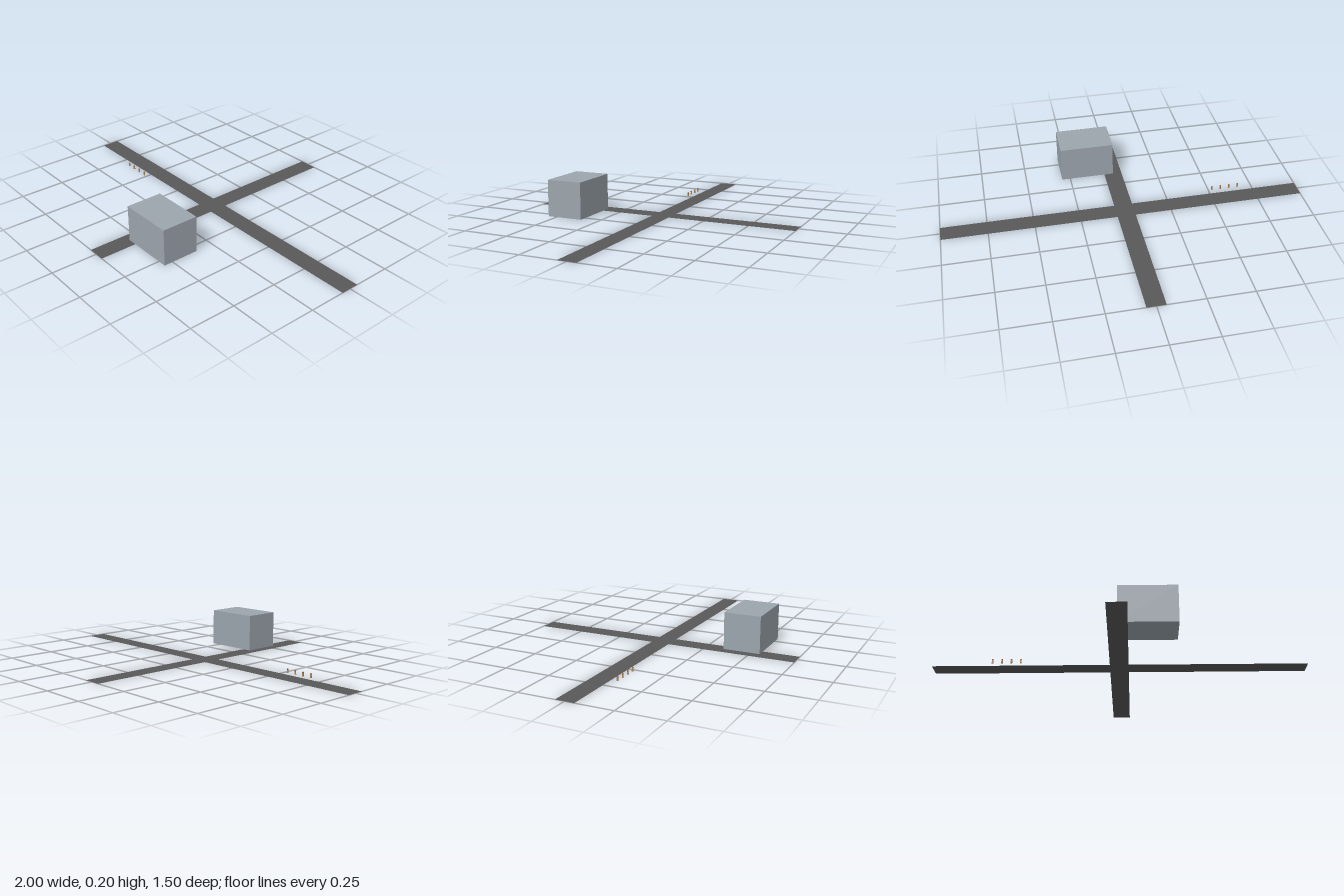
import * as THREE from 'three';

export function createModel() {
  const model = new THREE.Group();
  const mat = (name, color, side = THREE.FrontSide) => {
    const m = new THREE.MeshStandardMaterial({ color, side });
    m.name = name;
    return m;
  };
  const asphalt = mat('asphalt grey', 0x58585a, THREE.DoubleSide);
  const wall = mat('building grey', 0x9ca5ad);
  const clothes = mat('tan clothes', 0xb08550);
  const hair = mat('brown head', 0x8a6548);

  const add = (parent, name, geometry, material, x, y, z) => {
    const mesh = new THREE.Mesh(geometry, material);
    mesh.name = name;
    mesh.position.set(x, y, z);
    parent.add(mesh);
    return mesh;
  };

  // Two flat crossing roads
  const road = (w, d) => new THREE.PlaneGeometry(w, d).rotateX(-Math.PI / 2);
  add(model, 'mainRoad', road(2, 0.1), asphalt, 0, 0, 0);
  // The cross road is split so the surfaces do not overlap
  for (const s of [-1, 1]) {
    add(model, s > 0 ? 'crossRoadFront' : 'crossRoadBack', road(0.1, 0.7), asphalt, 0, 0, s * 0.4);
  }

  // Block-shaped building beside the cross road
  add(model, 'building', new THREE.BoxGeometry(0.297, 0.2, 0.2), wall, 0.1485, 0.1005, 0.449);

  // Row of small standing figures beside the main road
  const bodyGeo = new THREE.CylinderGeometry(0.004, 0.005, 0.016, 8);
  const headGeo = new THREE.SphereGeometry(0.0045, 10, 8);
  for (let i = 0; i < 4; i++) {
    const figure = new THREE.Group();
    figure.name = `pedestrian${i + 1}`;
    figure.position.set(-0.67 + i * 0.05, 0, 0.083);
    add(figure, 'body', bodyGeo, clothes, 0, 0.0085, 0);
    add(figure, 'head', headGeo, hair, 0, 0.0195, 0);
    model.add(figure);
  }
  return model;
}
